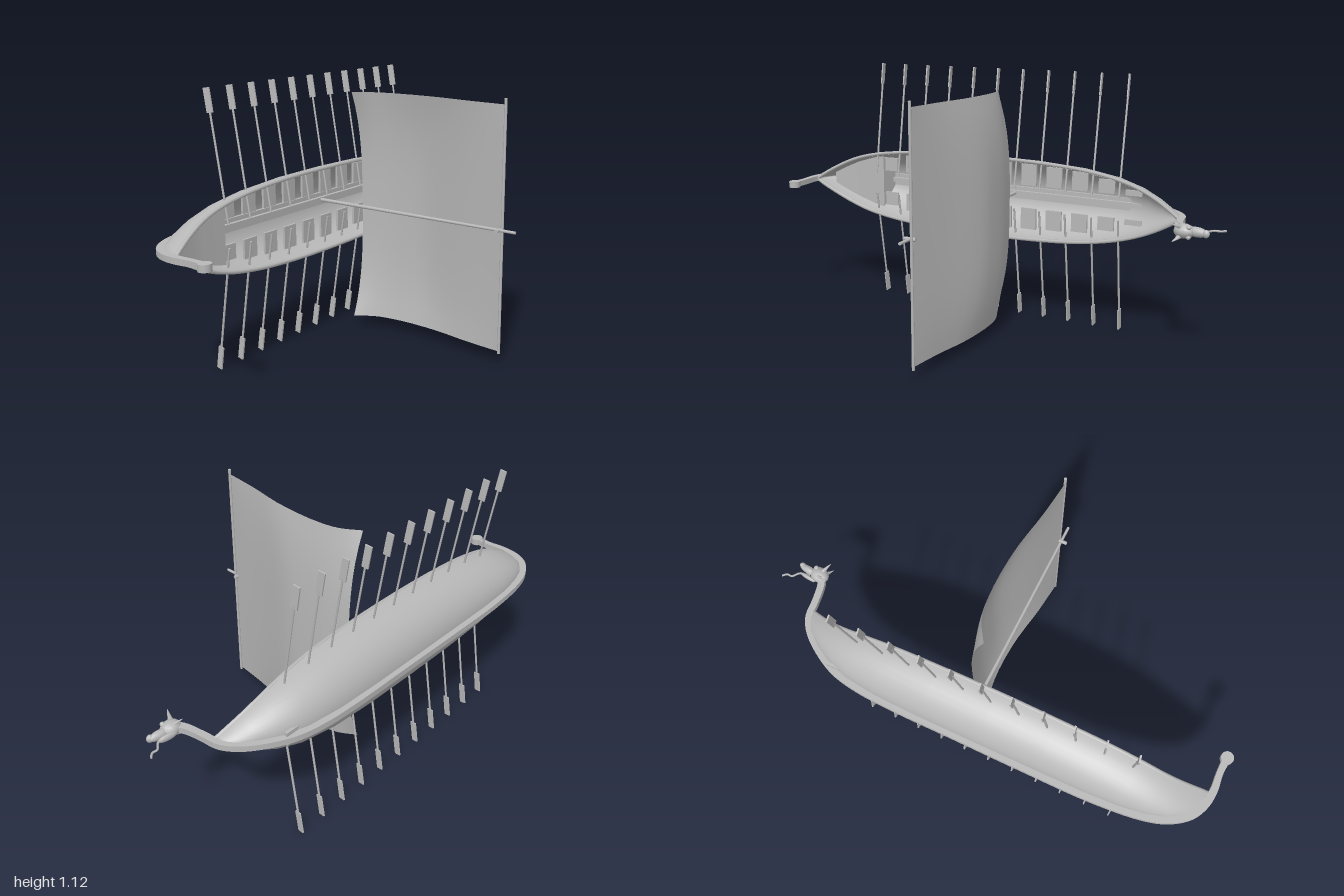
import * as THREE from 'three';

const CY = 0.558;      // height of the ship's centre line (the ship lies on its side)
const TILT = 0.127;    // trim of the ship about the y axis
const grey = new THREE.MeshStandardMaterial({ color: 0xb8b8b8, side: THREE.DoubleSide });
grey.name = 'weathered grey';

// Hull stations: x, gunwale z, keel z, half width
const STATIONS = [
  [-0.97, -0.15, -0.2, 0.008], [-0.94, -0.16, -0.27, 0.03], [-0.88, -0.18, -0.32, 0.066],
  [-0.8, -0.2, -0.355, 0.105], [-0.7, -0.213, -0.383, 0.137], [-0.55, -0.23, -0.41, 0.162],
  [-0.35, -0.255, -0.437, 0.177], [-0.1, -0.285, -0.47, 0.181], [0.15, -0.318, -0.502, 0.177],
  [0.35, -0.345, -0.523, 0.163], [0.5, -0.367, -0.525, 0.137], [0.6, -0.378, -0.506, 0.106],
  [0.68, -0.378, -0.474, 0.07], [0.74, -0.37, -0.44, 0.036], [0.785, -0.362, -0.4, 0.008],
];

// Smoothly interpolated station at a given x
function station(x) {
  let i = 0;
  while (i < STATIONS.length - 2 && STATIONS[i + 1][0] < x) i++;
  const a = STATIONS[i], b = STATIONS[i + 1];
  const t = THREE.MathUtils.clamp((x - a[0]) / (b[0] - a[0]), 0, 1);
  const [g, k, w] = [1, 2, 3].map((j) => a[j] + (b[j] - a[j]) * t);
  return { g, k, w };
}

// Surface from a grid function f(u, v) -> [x, y, z]
function surface(nu, nv, f) {
  const pos = [], idx = [];
  for (let i = 0; i <= nu; i++) for (let j = 0; j <= nv; j++) pos.push(...f(i / nu, j / nv));
  for (let i = 0; i < nu; i++) for (let j = 0; j < nv; j++) {
    const a = i * (nv + 1) + j, b = a + nv + 1;
    idx.push(a, b, a + 1, b, b + 1, a + 1);
  }
  const geo = new THREE.BufferGeometry();
  geo.setAttribute('position', new THREE.Float32BufferAttribute(pos, 3));
  geo.setIndex(idx);
  geo.computeVertexNormals();
  return geo;
}

function add(parent, name, geo, x = 0, y = 0, z = 0) {
  const mesh = new THREE.Mesh(geo, grey);
  mesh.name = name;
  mesh.position.set(x, y, z);
  parent.add(mesh);
  return mesh;
}

// Round bar between two points
function bar(parent, name, a, b, r0, r1 = r0, sides = 8) {
  const p = new THREE.Vector3(...a), q = new THREE.Vector3(...b);
  const d = q.clone().sub(p);
  const m = add(parent, name, new THREE.CylinderGeometry(r1, r0, d.length(), sides));
  m.position.copy(p).add(q).multiplyScalar(0.5);
  m.quaternion.setFromUnitVectors(new THREE.Vector3(0, 1, 0), d.normalize());
  return m;
}

// Flat timber following a path of [x, z, width], extruded across the ship
function timber(path, depth, steps) {
  const curve = new THREE.CatmullRomCurve3(path.map((p) => new THREE.Vector3(...p)));
  const left = [], right = [];
  for (let i = 0; i <= steps; i++) {
    const p = curve.getPoint(i / steps), t = curve.getTangent(i / steps);
    const n = new THREE.Vector2(-t.y, t.x).normalize().multiplyScalar(p.z / 2);
    left.push(new THREE.Vector2(p.x + n.x, p.y + n.y));
    right.unshift(new THREE.Vector2(p.x - n.x, p.y - n.y));
  }
  const geo = new THREE.ExtrudeGeometry(new THREE.Shape([...left, ...right]), { depth, bevelEnabled: false });
  return geo.translate(0, 0, -depth / 2).rotateX(Math.PI / 2);
}

function buildHull(g) {
  const n = STATIONS.length - 1;
  const shell = (inset, rise) => surface(n, 20, (u, v) => {
    const [x, gz, kz, w] = STATIONS[Math.round(u * n)], a = v * Math.PI;
    const depth = Math.max(gz - kz - rise, 0.005);
    return [x, CY + Math.max(w - inset, 0.002) * Math.cos(a), gz - depth * Math.sin(a)];
  });
  add(g, 'outerHull', shell(0, 0));
  add(g, 'innerHull', shell(0.012, 0.02));
  for (const s of [-1, 1]) {
    const pts = STATIONS.map(([x, gz, , w]) => new THREE.Vector3(x, CY + s * Math.max(w - 0.005, 0.003), gz));
    add(g, 'gunwale', new THREE.TubeGeometry(new THREE.CatmullRomCurve3(pts), 60, 0.008, 6));
  }

  // Keel with curled stern post and rising stem
  add(g, 'keel', timber([
    [-0.968, 0, 0.03], [-0.972, -0.06, 0.026], [-0.984, -0.13, 0.03], [-0.98, -0.2, 0.034], [-0.955, -0.262, 0.034],
    [-0.89, -0.322, 0.034], [-0.8, -0.364, 0.032], [-0.6, -0.41, 0.032], [-0.3, -0.451, 0.032], [0, -0.488, 0.032],
    [0.3, -0.525, 0.032], [0.45, -0.534, 0.032], [0.56, -0.525, 0.032], [0.66, -0.49, 0.032], [0.74, -0.442, 0.032],
    [0.785, -0.39, 0.03], [0.805, -0.32, 0.028], [0.828, -0.25, 0.03], [0.852, -0.215, 0.034],
  ], 0.024, 90), 0, CY, 0);
  add(g, 'sternKnob', new THREE.CylinderGeometry(0.026, 0.026, 0.028, 16), -0.968, CY, 0.012);

  // Stern platform and its bulkhead
  const dz = 0.055;
  const inner = (x, d) => {
    const s = station(x), h = Math.max(s.g - s.k - 0.02, 0.01);
    return Math.max(s.w - 0.012, 0.002) * Math.sqrt(Math.max(1 - (d / h) ** 2, 0));
  };
  add(g, 'sternPlatform', surface(10, 2, (u, v) => {
    const x = -0.92 + 0.26 * u;
    return [x, CY + (v * 2 - 1) * inner(x, dz), station(x).g - dz];
  }));
  add(g, 'bulkhead', surface(1, 12, (u, v) => {
    const s = station(-0.66), d = dz + u * (s.g - s.k - 0.022 - dz);
    return [-0.66, CY + (v * 2 - 1) * inner(-0.66, d), s.g - d];
  }));

  // Walkway and keelson along the floor
  const walk = add(g, 'walkway', new THREE.BoxGeometry(1.26, 0.055, 0.012), -0.03, CY, -0.437);
  const keelson = add(g, 'keelson', new THREE.BoxGeometry(1.26, 0.02, 0.02), -0.03, CY, -0.425);
  walk.rotation.y = keelson.rotation.y = TILT;

  // Rowing benches
  for (let i = 0; i < 11; i++) for (const s of [-1, 1]) {
    const x = -0.63 + i * 0.118, d = 0.075;
    const w = Math.min(inner(x - 0.03, d), inner(x + 0.03, d)), start = 0.052;
    if (w - start < 0.01) continue;
    const bench = add(g, 'bench', new THREE.BoxGeometry(0.072, w - start, 0.01), x, CY + s * (w + start) / 2, station(x).g - d);
    bench.rotation.y = TILT;
  }
}

function buildOars(g) {
  for (let i = 0; i < 11; i++) for (const s of [-1, 1]) {
    const x = -0.682 + i * 0.118, z = -0.318 - i * 0.0152;
    const at = (h) => [x + h * 0.021, CY + s * (h - CY), z + h * 0.162];
    const oar = new THREE.Group();
    oar.name = 'oar';
    bar(oar, 'oarShaft', at(0.08), at(0.51), 0.0045, 0.0045, 6);
    const blade = bar(oar, 'oarBlade', at(0.003), at(0.095), 0.01);
    blade.geometry = new THREE.BoxGeometry(0.006, 0.094, 0.028);
    g.add(oar);
  }
}

function buildRig(g) {
  bar(g, 'mast', [-0.02, CY, -0.46], [0.088, CY, 0.545], 0.008, 0.006, 10);
  bar(g, 'yard', [0.092, 0.045, 0.48], [0.092, 1.068, 0.48], 0.006);
  bar(g, 'yardBracket', [0.055, CY, 0.476], [0.105, CY, 0.47], 0.008);
  // Billowing sail: one curve down the edges, another down the middle
  const curve = (pts) => new THREE.CatmullRomCurve3(pts.map(([x, z]) => new THREE.Vector3(x, 0, z)));
  const edge = curve([[0.089, 0.475], [0.09, 0.32], [0.1, 0.13], [0.084, -0.06], [0.055, -0.16], [-0.002, -0.235]]);
  const middle = curve([[0.089, 0.475], [0.108, 0.27], [0.135, 0.06], [0.124, -0.04], [0.105, -0.13], [0.066, -0.242]]);
  add(g, 'sail', surface(16, 16, (u, v) => {
    const s = v * 2 - 1, a = edge.getPoint(u), b = middle.getPoint(u);
    a.lerp(b, 1 - Math.abs(s) ** 3);
    return [a.x, 0.55 + s * 0.495, a.z];
  }));
}

function buildHead(g) {
  const head = new THREE.Group();
  head.name = 'figurehead';
  head.position.set(0.87, CY, -0.212);
  const ball = (name, x, y, z, sx, sy, sz) => add(head, name, new THREE.SphereGeometry(1, 12, 8), x, y, z).scale.set(sx, sy, sz);
  ball('skull', -0.005, 0, 0, 0.042, 0.029, 0.034);
  ball('upperJaw', 0.045, 0, -0.006, 0.046, 0.019, 0.017);
  ball('lowerJaw', 0.03, 0, -0.035, 0.04, 0.014, 0.009);
  ball('nose', 0.08, 0, -0.002, 0.015, 0.016, 0.012);
  for (const s of [-1, 1]) {
    ball('eye', 0.018, s * 0.019, 0.015, 0.01, 0.009, 0.01);
    bar(head, 'ear', [-0.015, s * 0.018, 0.015], [-0.03, s * 0.034, 0.058], 0.011, 0.001, 6);
    bar(head, 'cheekSpike', [-0.01, s * 0.018, -0.012], [-0.045, s * 0.031, -0.018], 0.01, 0.001, 6);
  }
  const path = [[0.03, 0, -0.025], [0.07, 0, -0.038], [0.092, 0, -0.068], [0.112, 0, -0.07], [0.128, 0, -0.088]];
  add(head, 'tongue', new THREE.TubeGeometry(
    new THREE.CatmullRomCurve3(path.map((p) => new THREE.Vector3(...p))), 16, 0.0045, 6));
  g.add(head);
}

export function createModel() {
  const ship = new THREE.Group();
  ship.name = 'longship';
  for (const [name, build] of [['hull', buildHull], ['oars', buildOars], ['rigging', buildRig], ['prow', buildHead]]) {
    const part = new THREE.Group();
    part.name = name;
    build(part);
    ship.add(part);
  }
  return ship;
}
